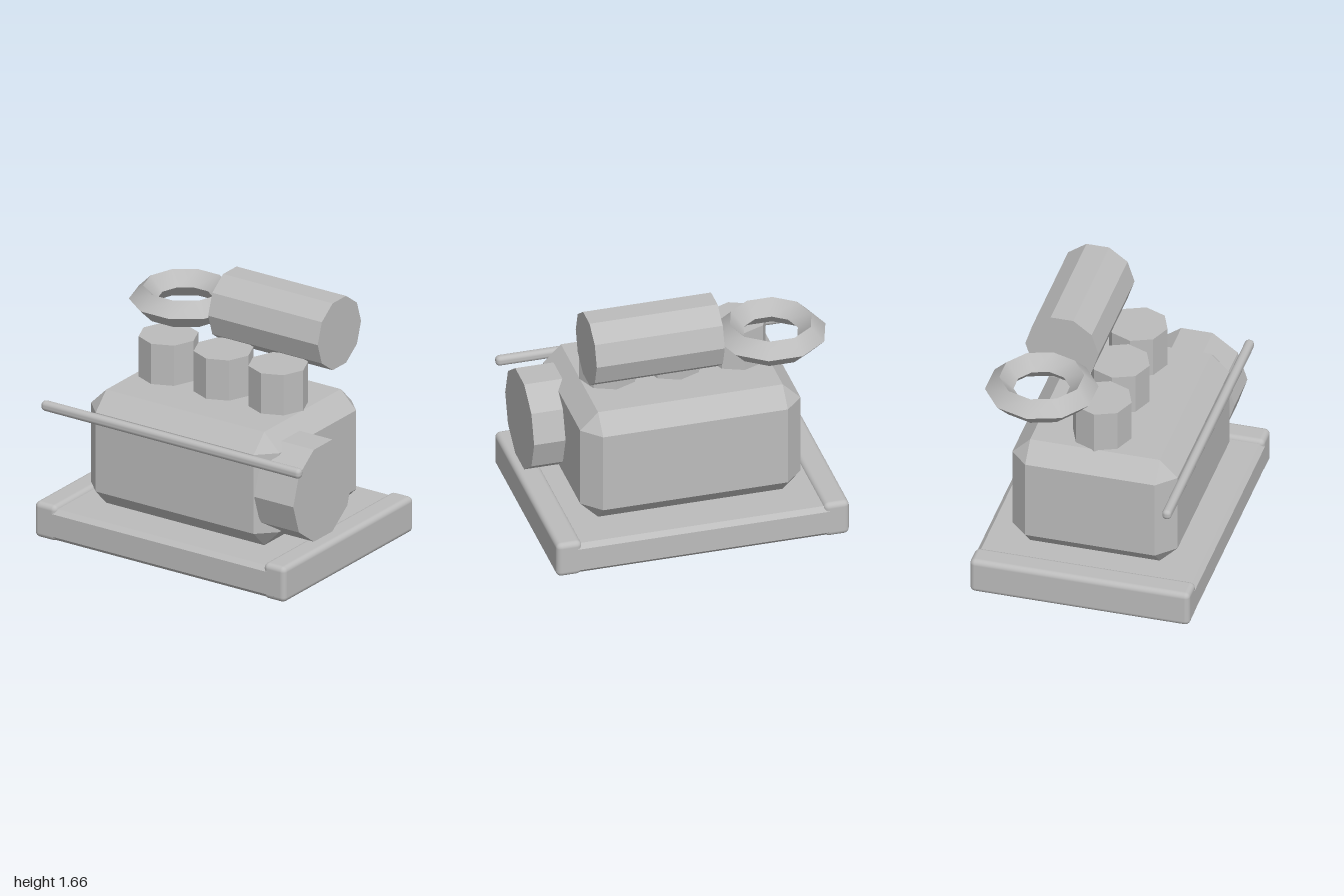
import * as THREE from 'three';
import { toCreasedNormals } from 'three/addons/utils/BufferGeometryUtils.js';
import { RoundedBoxGeometry } from 'three/addons/geometries/RoundedBoxGeometry.js';
import { ConvexGeometry } from 'three/addons/geometries/ConvexGeometry.js';

// Box with flat chamfers of size c on every edge
function chamferBox(w, h, d, c) {
  const [x, y, z] = [w / 2, h / 2, d / 2];
  const points = [];
  for (const sx of [-1, 1]) for (const sy of [-1, 1]) for (const sz of [-1, 1]) {
    points.push(
      new THREE.Vector3(sx * x, sy * (y - c), sz * (z - c)),
      new THREE.Vector3(sx * (x - c), sy * y, sz * (z - c)),
      new THREE.Vector3(sx * (x - c), sy * (y - c), sz * z));
  }
  return new ConvexGeometry(points);
}

// Faceted ten-sided drum lying along x, with corners pointing along z
function drum(radius, length) {
  const geometry = new THREE.CylinderGeometry(radius, radius, length, 10);
  return toCreasedNormals(geometry.rotateZ(Math.PI / 2), Math.PI / 6);
}

export function createModel() {
  const model = new THREE.Group();
  model.name = 'machine';
  const grey = new THREE.MeshStandardMaterial({ color: 0xbcbcbc });
  grey.name = 'plain grey';

  function add(name, geometry, x, y, z) {
    const mesh = new THREE.Mesh(geometry, grey);
    mesh.name = name;
    mesh.position.set(x, y, z);
    model.add(mesh);
  }

  // Base plate with a raised rail along each side
  add('basePlate', chamferBox(1.91, 0.215, 1.45, 0.03), 0, 0.1125, -0.003);
  for (const side of [-1, 1]) {
    add(side > 0 ? 'leftRail' : 'rightRail',
      new RoundedBoxGeometry(0.168, 0.243, 1.45, 3, 0.035), side * 0.884, 0.1225, -0.003);
  }

  // Chamfered main body
  add('body', chamferBox(1.456, 0.78, 1.09, 0.118), 0, 0.61, 0.002);

  // Eight-sided posts on top
  const post = toCreasedNormals(new THREE.CylinderGeometry(0.193, 0.193, 0.33, 8), Math.PI / 6);
  [-0.427, -0.002, 0.421].forEach((x, i) => add('post' + (i + 1), post, x, 1.112, 0));

  // Side drum, top drum and front handrail
  add('sideDrum', drum(0.333, 0.302), 0.785, 0.61, 0.243);
  add('topDrum', drum(0.242, 0.846), 0.239, 1.43, -0.334);
  add('handrail', new RoundedBoxGeometry(2, 0.068, 0.06, 2, 0.028), 0, 0.854, 0.578);

  // Diamond-section ring
  const ring = new THREE.TorusGeometry(0.27, 0.091, 4, 10).rotateX(Math.PI / 2);
  add('ring', toCreasedNormals(ring, Math.PI / 6), -0.548, 1.37, -0.366);

  return model;
}
